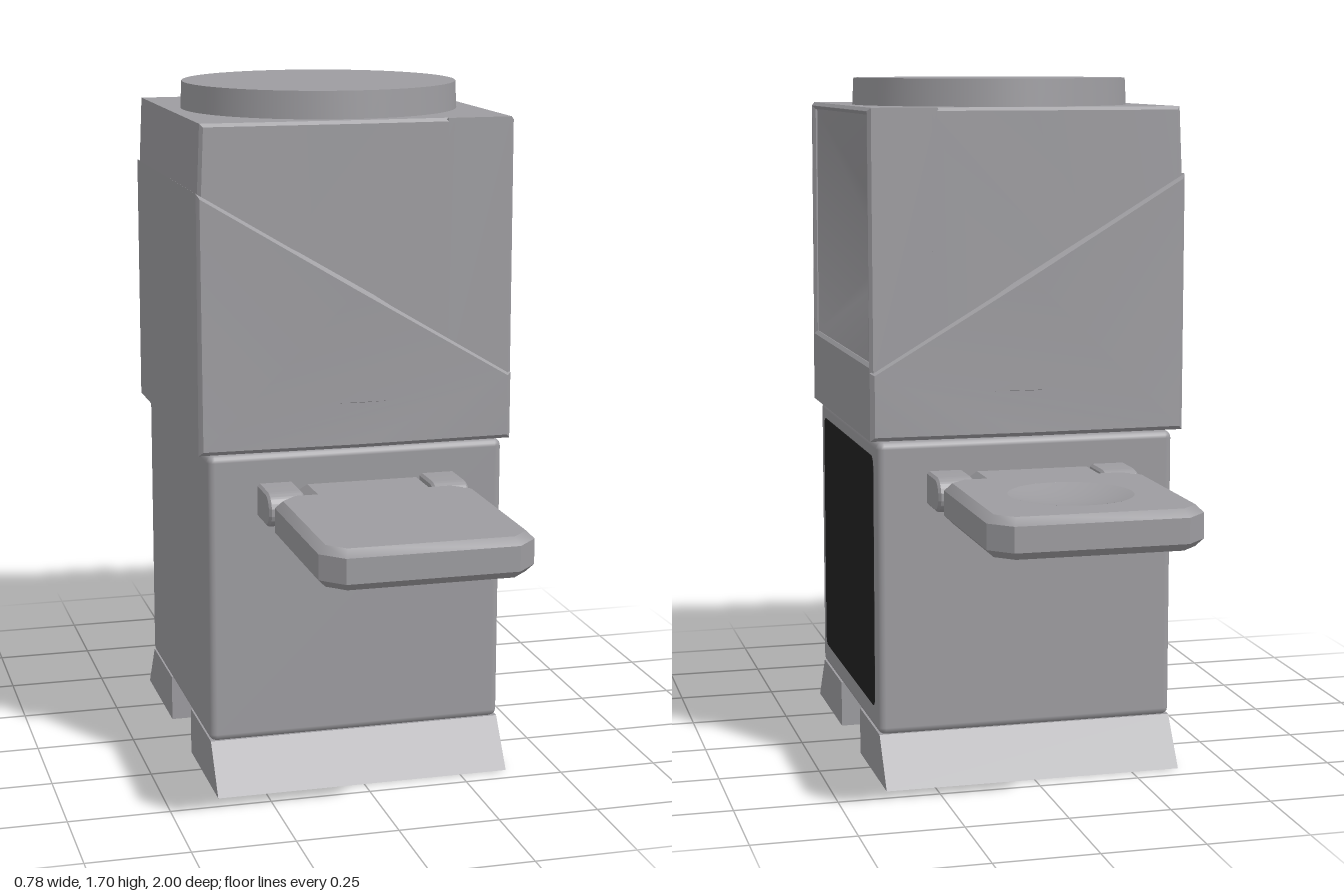
import * as THREE from 'three';
import { RoundedBoxGeometry } from 'three/addons/geometries/RoundedBoxGeometry.js';
import { toCreasedNormals } from 'three/addons/utils/BufferGeometryUtils.js';

const CREASE = 0.6;
const paint = new THREE.MeshStandardMaterial({ color: 0x9d9ca0 });
const paintDouble = new THREE.MeshStandardMaterial({ color: 0x9d9ca0, side: THREE.DoubleSide });
const dark = new THREE.MeshStandardMaterial({ color: 0x222222 });

function add(parent, name, geometry, x = 0, y = 0, z = 0, material = paint) {
  const mesh = new THREE.Mesh(geometry, material);
  mesh.name = name;
  mesh.position.set(x, y, z);
  parent.add(mesh);
  return mesh;
}

const polygon = (points) => new THREE.Shape(points.map(([x, y]) => new THREE.Vector2(x, y)));

// Closed rounded rectangle, used for the screen panel
function roundedRect(w, h, r) {
  const s = new THREE.Shape();
  const corners = [[w / 2 - r, h / 2 - r], [r - w / 2, h / 2 - r], [r - w / 2, r - h / 2], [w / 2 - r, r - h / 2]];
  corners.forEach(([x, y], i) => s.absarc(x, y, r, i * Math.PI / 2, (i + 1) * Math.PI / 2, false));
  return s;
}

// Extrusion of total depth d centred on z, with a chamfer that stays inside the outline
function slab(shape, d, bevel) {
  const geometry = new THREE.ExtrudeGeometry(shape, {
    depth: d - 2 * bevel, bevelEnabled: bevel > 0, bevelSize: bevel, bevelThickness: bevel,
    bevelOffset: -bevel, bevelSegments: 1, curveSegments: 32,
  });
  geometry.translate(0, 0, bevel - d / 2);
  return toCreasedNormals(geometry, CREASE);
}

// Head panels swell slightly along their middle and narrow towards the top
function swell(geometry, narrowing) {
  const p = geometry.attributes.position;
  for (let i = 0; i < p.count; i++) {
    const bulge = 1 + 0.02 * (1 - Math.abs(p.getX(i)) / 0.39);
    const t = (p.getY(i) - 1.01) / 0.62;
    p.setZ(i, p.getZ(i) * bulge * (1 - narrowing * t));
  }
  return toCreasedNormals(geometry, CREASE);
}

// Sloping walls and small back of the recessed window on the +x side
function recessGeometry() {
  const outer = [[1.03, 0.36], [1.03, -0.36], [1.62, -0.36], [1.62, 0.36]];
  const inner = [[1.24, 0.11], [1.24, -0.11], [1.34, -0.11], [1.34, 0.11]];
  const position = [
    ...outer.flatMap(([y, z]) => [0.38, y, z]),
    ...inner.flatMap(([y, z]) => [0.25, y, z]),
  ];
  const index = [4, 5, 6, 4, 6, 7];
  for (let i = 0; i < 4; i++) {
    const j = (i + 1) % 4;
    index.push(i, j, j + 4, i, j + 4, i + 4);
  }
  const geometry = new THREE.BufferGeometry();
  geometry.setAttribute('position', new THREE.Float32BufferAttribute(position, 3));
  geometry.setIndex(index);
  geometry.computeVertexNormals();
  return geometry;
}

function createHead() {
  const head = new THREE.Group();
  head.name = 'head';
  // Lower shell with the diagonal seam
  const lower = polygon([[-0.395, 0.845], [0, 0.845], [0.39, 0.845], [0.39, 1.01], [0, 1.241], [-0.395, 1.475]]);
  add(head, 'lowerHeadShell', swell(slab(lower, 0.772, 0.01), 0));
  // Upper shell behind the window
  const upper = polygon([[-0.39, 0.95], [0, 0.95], [0.245, 0.95], [0.245, 1.637], [0, 1.637], [-0.383, 1.637], [-0.39, 1.475]]);
  add(head, 'upperHeadShell', swell(slab(upper, 0.76, 0.008), 0.015));
  // Window frame
  const frame = polygon([[-0.38, 1.0], [0.38, 1.0], [0.38, 1.637], [-0.38, 1.637]]);
  frame.holes.push(polygon([[-0.36, 1.03], [-0.36, 1.62], [0.36, 1.62], [0.36, 1.03]]));
  const frameGeometry = slab(frame, 0.175, 0.008).rotateY(Math.PI / 2).translate(0.3025, 0, 0);
  add(head, 'windowFrame', swell(frameGeometry, 0.015));
  add(head, 'windowRecess', recessGeometry(), 0, 0, 0, paintDouble);
  // Round cap
  add(head, 'topCap', new THREE.CylinderGeometry(0.343, 0.347, 0.08, 64), 0, 1.664, 0);
  return head;
}

function createBody() {
  const body = new THREE.Group();
  body.name = 'body';
  add(body, 'cabinet', new RoundedBoxGeometry(0.745, 0.725, 0.745, 2, 0.018), 0, 0.4785, 0);
  add(body, 'neckPlate', new THREE.BoxGeometry(0.66, 0.03, 0.66), 0, 0.84, 0);
  add(body, 'sidePanel', slab(roundedRect(0.65, 0.625, 0.025), 0.01, 0.001).rotateY(Math.PI / 2),
    0.3687, 0.4875, 0, dark);
  return body;
}

// Hinged shelf pointing to +z; the dished one carries a shallow round hollow
function createShelf(name, dished) {
  const shelf = new THREE.Group();
  shelf.name = name;
  const half = [[0.155, 0.4], [0.155, 0.5], [0.2, 0.5], [0.25, 0.55], [0.25, 0.95], [0.2, 1.0]];
  const outline = polygon([...half, ...half.map(([x, z]) => [-x, z]).reverse()]);
  const bevel = 0.018, radius = 0.145;
  if (dished) {
    const hole = new THREE.Path();
    hole.absarc(0, 0.75, radius - bevel, 0, Math.PI * 2, true);
    outline.holes.push(hole);
    // Shallow bowl closing the hole from above
    const profile = [];
    for (let i = 0; i <= 8; i++) {
      const t = i / 8;
      profile.push(new THREE.Vector2(radius * t, 0.075 + 0.02 * t * t));
    }
    add(shelf, 'dish', new THREE.LatheGeometry(profile, 48), 0, 0.675, 0.75, paintDouble);
    add(shelf, 'dishUnderside', new THREE.CylinderGeometry(radius, radius, 0.01, 48), 0, 0.68, 0.75);
  }
  add(shelf, 'shelfBoard', slab(outline, 0.095, bevel).rotateX(Math.PI / 2), 0, 0.7225, 0);
  // Pair of rounded hinge knuckles
  const knuckle = new THREE.Shape();
  knuckle.moveTo(0.36, -0.042);
  knuckle.lineTo(0.455, -0.042);
  knuckle.absarc(0.455, 0, 0.042, -Math.PI / 2, Math.PI / 2, false);
  knuckle.lineTo(0.36, 0.042);
  for (const side of [-1, 1]) {
    add(shelf, 'hinge', slab(knuckle, 0.09, 0.006).rotateY(-Math.PI / 2), side * 0.205, 0.725, 0);
  }
  return shelf;
}

export function createModel() {
  const model = new THREE.Group();
  model.name = 'kiosk';
  model.add(createHead(), createBody());

  // Front shelf and the dished rear shelf
  model.add(createShelf('frontShelf', false));
  const rear = createShelf('rearShelf', true);
  rear.rotation.y = Math.PI;
  model.add(rear);

  // Two wedge feet, flared outward
  const wedge = polygon([[0.125, 0], [0.45, 0], [0.37, 0.118], [0.125, 0.118]]);
  for (const [name, turn] of [['frontFoot', 0], ['rearFoot', Math.PI]]) {
    const foot = add(model, name, slab(wedge, 0.742, 0).rotateY(-Math.PI / 2));
    foot.rotation.y = turn;
  }
  return model;
}
